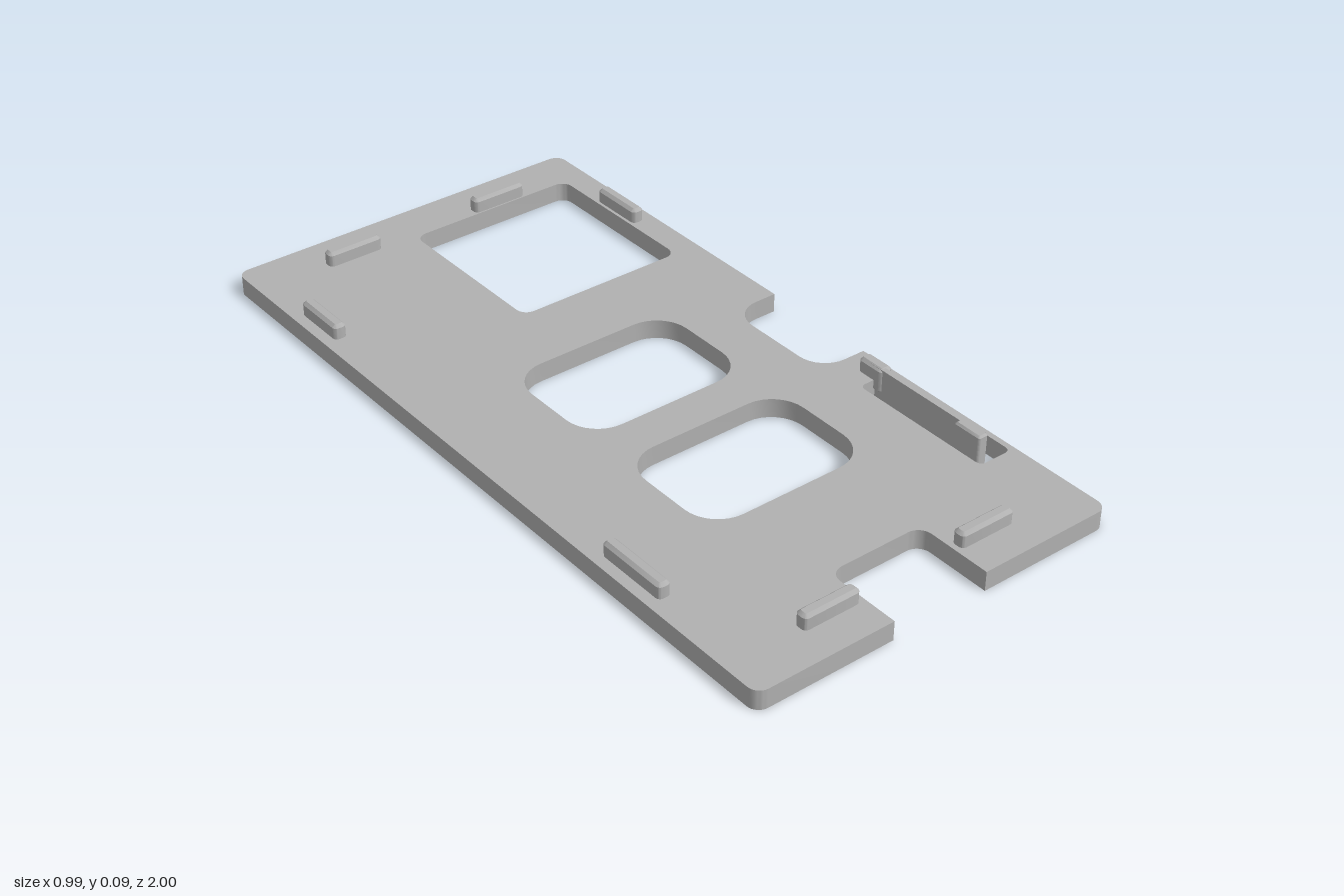
import * as THREE from 'three';
import { toCreasedNormals } from 'three/addons/utils/BufferGeometryUtils.js';

const THICK = 0.05, TOP = 0.088;

// Trace a polygon of [x, z, cornerRadius] points with rounded corners
function trace(path, pts) {
  const n = pts.length, K = 0.5523;
  pts.forEach(([x, z, r], i) => {
    const corner = new THREE.Vector2(x, z);
    const toward = ([px, pz]) => new THREE.Vector2(px, pz).sub(corner).normalize();
    const a = toward(pts[(i + n - 1) % n]), b = toward(pts[(i + 1) % n]);
    const at = (dir, d) => corner.clone().addScaledVector(dir, d);
    const start = at(a, r), end = at(b, r);
    if (i === 0) path.moveTo(start.x, start.y);
    else path.lineTo(start.x, start.y);
    if (r > 0) {
      const c1 = at(a, r * (1 - K)), c2 = at(b, r * (1 - K));
      path.bezierCurveTo(c1.x, c1.y, c2.x, c2.y, end.x, end.y);
    }
  });
  path.closePath();
  return path;
}

const rect = (x0, x1, z0, z1, r) => [[x0, z0, r], [x1, z0, r], [x1, z1, r], [x0, z1, r]];

// Extrude an x-z outline vertically from y0 to y1, optionally chamfered
function slab(shape, y0, y1, chamfer = 0) {
  const geo = new THREE.ExtrudeGeometry(shape, {
    depth: y1 - y0 - 2 * chamfer, curveSegments: 8, bevelEnabled: chamfer > 0,
    bevelSegments: 1, bevelSize: chamfer, bevelThickness: chamfer, bevelOffset: -chamfer,
  });
  geo.rotateX(Math.PI / 2).translate(0, y1 - chamfer, 0);
  return toCreasedNormals(geo, 0.5);
}

export function createModel() {
  const model = new THREE.Group();
  model.name = 'coverPlate';
  const grey = new THREE.MeshStandardMaterial({ color: 0xb0b0b0 });
  grey.name = 'grey';
  const add = (name, geo) => {
    const mesh = new THREE.Mesh(geo, grey);
    mesh.name = name;
    model.add(mesh);
  };

  // Plate with a front slot and a notch on the left edge
  const outline = trace(new THREE.Shape(), [
    [-0.495, -1, 0.03], [0.495, -1, 0.03],
    [0.495, -0.105, 0], [0.36, -0.105, 0.075], [0.36, 0.218, 0.075], [0.495, 0.218, 0],
    [0.495, 1, 0.03],
    [0.13, 1, 0], [0.13, 0.8, 0.035], [-0.13, 0.8, 0.035], [-0.13, 1, 0],
    [-0.495, 1, 0.03],
  ]);
  // Square window, two rounded windows, latch slot
  for (const hole of [
    rect(-0.046, 0.424, -0.876, -0.405, 0.03),
    rect(-0.23, 0.227, -0.207, 0.107, 0.09),
    rect(-0.23, 0.227, 0.22, 0.535, 0.09),
    rect(0.388, 0.48, 0.325, 0.72, 0.015),
  ]) outline.holes.push(trace(new THREE.Path(), hole));
  add('plate', slab(outline, 0, THICK));

  // Chamfered locating tabs around the rim
  const tab = (name, x0, x1, z0, z1) =>
    add(name, slab(trace(new THREE.Shape(), rect(x0, x1, z0, z1, 0.012)), 0.02, TOP, 0.008));
  for (const [side, s] of [['left', 1], ['right', -1]]) {
    const x0 = s * 0.22 - 0.076, x1 = s * 0.22 + 0.076;
    tab(side + 'BackTab', x0, x1, -0.914, -0.88);
    tab(side + 'FrontTab', x0, x1, 0.88, 0.914);
    tab(side + 'RearSideTab', s * 0.449 - 0.017, s * 0.449 + 0.017, -0.74, -0.588);
  }
  tab('rightFrontSideTab', -0.466, -0.432, 0.46, 0.655);

  // Spring latch: thin arm in the slot, anchored tab and free hooked end
  tab('latchAnchorTab', 0.43, 0.466, 0.27, 0.35);
  add('latchArm', slab(trace(new THREE.Shape(), rect(0.435, 0.448, 0.31, 0.67, 0)), 0, TOP - 0.002));
  add('latchHook', slab(trace(new THREE.Shape(), rect(0.42, 0.448, 0.6, 0.68, 0.006)), 0, TOP, 0.005));
  return model;
}
